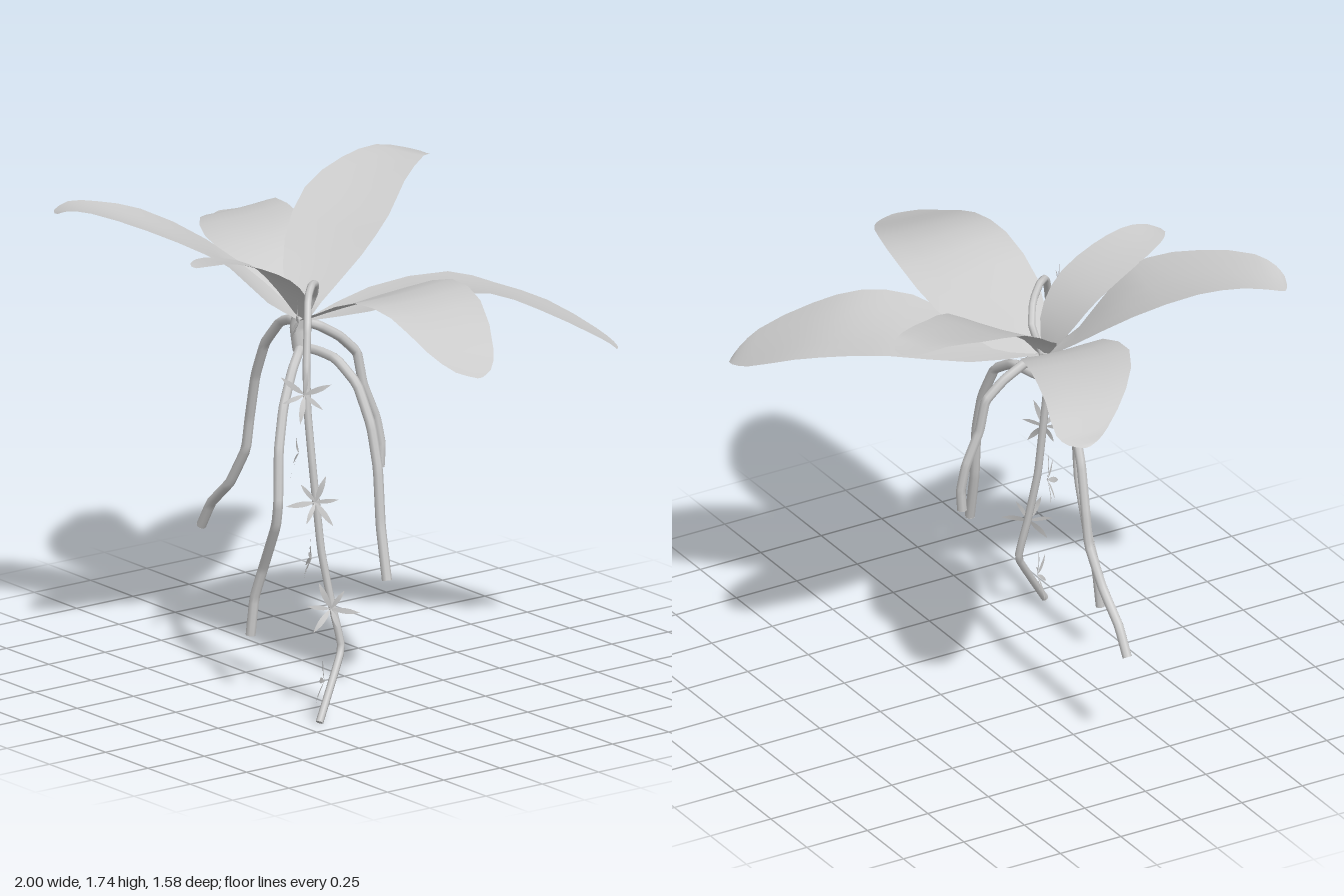
import * as THREE from 'three';

const material = new THREE.MeshStandardMaterial({ color: 0xcccccc });
const thin = new THREE.MeshStandardMaterial({ color: 0xcccccc, side: THREE.DoubleSide });

// Surface skinned between a left and a right edge, sagging along the midrib
function blade(stations, rows, cols, sag) {
  const edge = (k) => new THREE.CatmullRomCurve3(stations.map((s) => new THREE.Vector3(s[k], s[k + 1], s[k + 2])));
  const left = edge(0), right = edge(3);
  const pos = [], index = [];
  for (let i = 0; i <= rows; i++) {
    const t = i / rows, a = left.getPoint(t), b = right.getPoint(t);
    const depth = sag * a.distanceTo(b) * (1 - 0.6 * t);
    for (let j = 0; j <= cols; j++) {
      const u = j / cols, p = a.clone().lerp(b, u);
      p.y -= depth * (1 - Math.abs(2 * u - 1) ** 1.5);
      pos.push(p.x, p.y, p.z);
      if (i < rows && j < cols) {
        const k = i * (cols + 1) + j, n = k + cols + 1;
        index.push(k, n, k + 1, k + 1, n, n + 1);
      }
    }
  }
  const g = new THREE.BufferGeometry();
  g.setAttribute('position', new THREE.Float32BufferAttribute(pos, 3));
  g.setIndex(index);
  g.computeVertexNormals();
  return g;
}

// Round strand of nearly straight lengths, closed by flat ends
function strand(name, pts, radius) {
  const group = new THREE.Group();
  group.name = name;
  const path = new THREE.CatmullRomCurve3(pts.map((p) => new THREE.Vector3(...p)), false, 'catmullrom', 0.12);
  group.add(new THREE.Mesh(new THREE.TubeGeometry(path, pts.length * 4, radius, 8), material));
  for (const t of [0, 1]) {
    const cap = new THREE.Mesh(new THREE.CircleGeometry(radius, 8), thin);
    cap.position.copy(path.getPointAt(t));
    cap.lookAt(cap.position.clone().add(path.getTangentAt(t)));
    group.add(cap);
  }
  return group;
}

// Each station: left edge x, y, z, then right edge x, y, z
const LEAVES = {
  leafLeft: [
    [-0.09, 1.32, 0.08, -0.09, 1.32, 0.13], [-0.04, 1.36, -0.06, -0.02, 1.35, 0.18],
    [0.15, 1.45, -0.17, 0.2, 1.44, 0.27], [0.38, 1.53, -0.19, 0.42, 1.53, 0.27],
    [0.63, 1.52, -0.13, 0.62, 1.52, 0.26], [0.88, 1.42, 0, 0.82, 1.44, 0.25],
    [0.97, 1.38, 0.08, 0.95, 1.39, 0.22], [1, 1.37, 0.14, 1, 1.37, 0.16]],
  leafBackLeft: [
    [-0.1, 1.32, 0.09, -0.07, 1.32, 0.1], [-0.12, 1.38, -0.2, 0.1, 1.37, -0.03],
    [0, 1.42, -0.46, 0.31, 1.45, -0.18], [0.13, 1.39, -0.57, 0.42, 1.46, -0.33],
    [0.28, 1.34, -0.69, 0.52, 1.4, -0.47], [0.45, 1.26, -0.78, 0.61, 1.3, -0.64],
    [0.54, 1.23, -0.79, 0.61, 1.25, -0.72], [0.58, 1.22, -0.78, 0.6, 1.22, -0.76]],
  leafBackRight: [
    [-0.08, 1.32, 0.1, -0.12, 1.32, 0.12], [-0.07, 1.38, 0.05, -0.2, 1.4, 0.11],
    [-0.1, 1.51, -0.15, -0.38, 1.53, -0.02], [-0.15, 1.62, -0.31, -0.5, 1.66, -0.2],
    [-0.27, 1.69, -0.47, -0.56, 1.72, -0.41], [-0.37, 1.73, -0.63, -0.56, 1.74, -0.56],
    [-0.4, 1.72, -0.68, -0.53, 1.72, -0.66], [-0.44, 1.71, -0.7, -0.48, 1.71, -0.7]],
  leafRight: [
    [-0.11, 1.32, 0.08, -0.11, 1.32, 0.13], [-0.25, 1.41, -0.05, -0.22, 1.38, 0.14],
    [-0.4, 1.51, -0.16, -0.37, 1.48, 0.2], [-0.55, 1.55, -0.21, -0.57, 1.53, 0.19],
    [-0.78, 1.54, -0.28, -0.8, 1.52, 0.04], [-0.92, 1.48, -0.32, -0.94, 1.47, -0.12],
    [-0.97, 1.46, -0.3, -0.99, 1.46, -0.19], [-1, 1.45, -0.25, -1, 1.45, -0.23]],
  leafFrontRight: [
    [-0.13, 1.32, 0.1, -0.09, 1.32, 0.13], [-0.26, 1.42, 0.15, -0.12, 1.4, 0.25],
    [-0.43, 1.57, 0.29, -0.12, 1.56, 0.42], [-0.58, 1.68, 0.47, -0.15, 1.62, 0.51],
    [-0.67, 1.71, 0.6, -0.31, 1.69, 0.64], [-0.73, 1.71, 0.68, -0.5, 1.73, 0.75],
    [-0.73, 1.69, 0.74, -0.6, 1.72, 0.78], [-0.69, 1.69, 0.77, -0.65, 1.7, 0.785]],
  leafFront: [
    [-0.13, 1.32, 0.11, -0.08, 1.32, 0.12], [-0.19, 1.43, 0.17, 0.01, 1.42, 0.17],
    [-0.2, 1.52, 0.26, 0.06, 1.52, 0.27], [-0.17, 1.58, 0.4, 0.07, 1.6, 0.42],
    [-0.12, 1.62, 0.55, 0.06, 1.64, 0.55], [-0.07, 1.63, 0.63, 0.04, 1.64, 0.62],
    [-0.03, 1.63, 0.66, 0.0, 1.63, 0.66]],
};

const ROOTS = {
  rootRight: [[-0.1, 1.3, 0.11], [-0.18, 1.3, 0.1], [-0.26, 1.27, 0.09], [-0.35, 1.17, 0.09], [-0.42, 1.03, 0.08],
    [-0.47, 0.85, 0.07], [-0.49, 0.74, 0.07], [-0.57, 0.6, 0.08], [-0.68, 0.5, 0.08], [-0.74, 0.4, 0.08]],
  rootBack: [[-0.1, 1.31, 0.1], [-0.08, 1.29, 0.05], [-0.07, 1.24, -0.03], [-0.06, 1.17, -0.1], [-0.05, 1.05, -0.12],
    [-0.04, 0.92, -0.17], [-0.03, 0.82, -0.185], [-0.03, 0.74, -0.18]],
  rootFront: [[-0.1, 1.22, 0.12], [-0.04, 1.21, 0.18], [0.01, 1.18, 0.24], [0.05, 1.06, 0.31], [0.09, 0.92, 0.36],
    [0.12, 0.74, 0.385], [0.1, 0.65, 0.38], [0, 0.47, 0.36], [-0.04, 0.35, 0.37], [-0.05, 0.21, 0.38]],
  rootLeft: [[-0.1, 1.22, 0.12], [-0.03, 1.22, 0.1], [0.07, 1.21, 0.09], [0.18, 1.14, 0.08], [0.25, 1.0, 0.07],
    [0.29, 0.85, 0.07], [0.32, 0.65, 0.08], [0.37, 0.46, 0.09]],
};

const STEM = [[-0.1, 1.32, 0.11], [-0.06, 1.42, 0.09], [0, 1.48, 0.13], [0.07, 1.5, 0.2], [0.13, 1.48, 0.26],
  [0.18, 1.4, 0.3], [0.22, 1.25, 0.335], [0.24, 1.1, 0.345], [0.27, 0.9, 0.345], [0.3, 0.6, 0.33],
  [0.33, 0.4, 0.305], [0.36, 0.24, 0.285], [0.43, 0.01, 0.435]];

// Flower centres, facing alternately to either side of the stem
const FLOWERS = [[0.17, 1.41, 0.33], [0.255, 1.17, 0.37], [0.23, 0.95, 0.375], [0.3, 0.78, 0.355],
  [0.285, 0.57, 0.36], [0.345, 0.39, 0.32], [0.38, 0.14, 0.375]];

// Pointed petal lying along +x, lifted toward +z
const petalGeometry = blade([
  [0, 0, 0, 0, 0, 0], [0.03, 0.009, 0.008, 0.03, -0.009, 0.008],
  [0.07, 0.009, 0.016, 0.07, -0.009, 0.016], [0.105, 0, 0.018, 0.105, 0, 0.018]], 6, 2, 0);

function flower([x, y, z], i) {
  const group = new THREE.Group();
  group.name = 'flower';
  for (let k = 0; k < 6; k++) {
    const petal = new THREE.Mesh(petalGeometry, thin);
    petal.name = 'petal';
    petal.rotation.z = (k / 6) * Math.PI * 2 + i * 0.4;
    petal.scale.setScalar(k % 2 ? 0.8 : 1);
    group.add(petal);
  }
  group.position.set(x, y, z);
  group.lookAt(x + (i % 2 ? 0.75 : -0.63), y + 0.15, z + (i % 2 ? 0.65 : 0.77));
  return group;
}

export function createModel() {
  const model = new THREE.Group();
  model.name = 'floweringPlant';

  for (const [name, stations] of Object.entries(LEAVES)) {
    const leaf = new THREE.Mesh(blade(stations, 14, 4, 0.025), thin);
    leaf.name = name;
    model.add(leaf);
  }

  // Short stalk joining leaves and roots
  model.add(strand('stalk', [[-0.1, 1.33, 0.125], [-0.105, 1.29, 0.13], [-0.095, 1.21, 0.125]], 0.028));
  for (const [name, pts] of Object.entries(ROOTS)) model.add(strand(name, pts, 0.018));

  model.add(strand('flowerStem', STEM, 0.014));
  FLOWERS.forEach((f, i) => model.add(flower(f, i)));
  return model;
}
